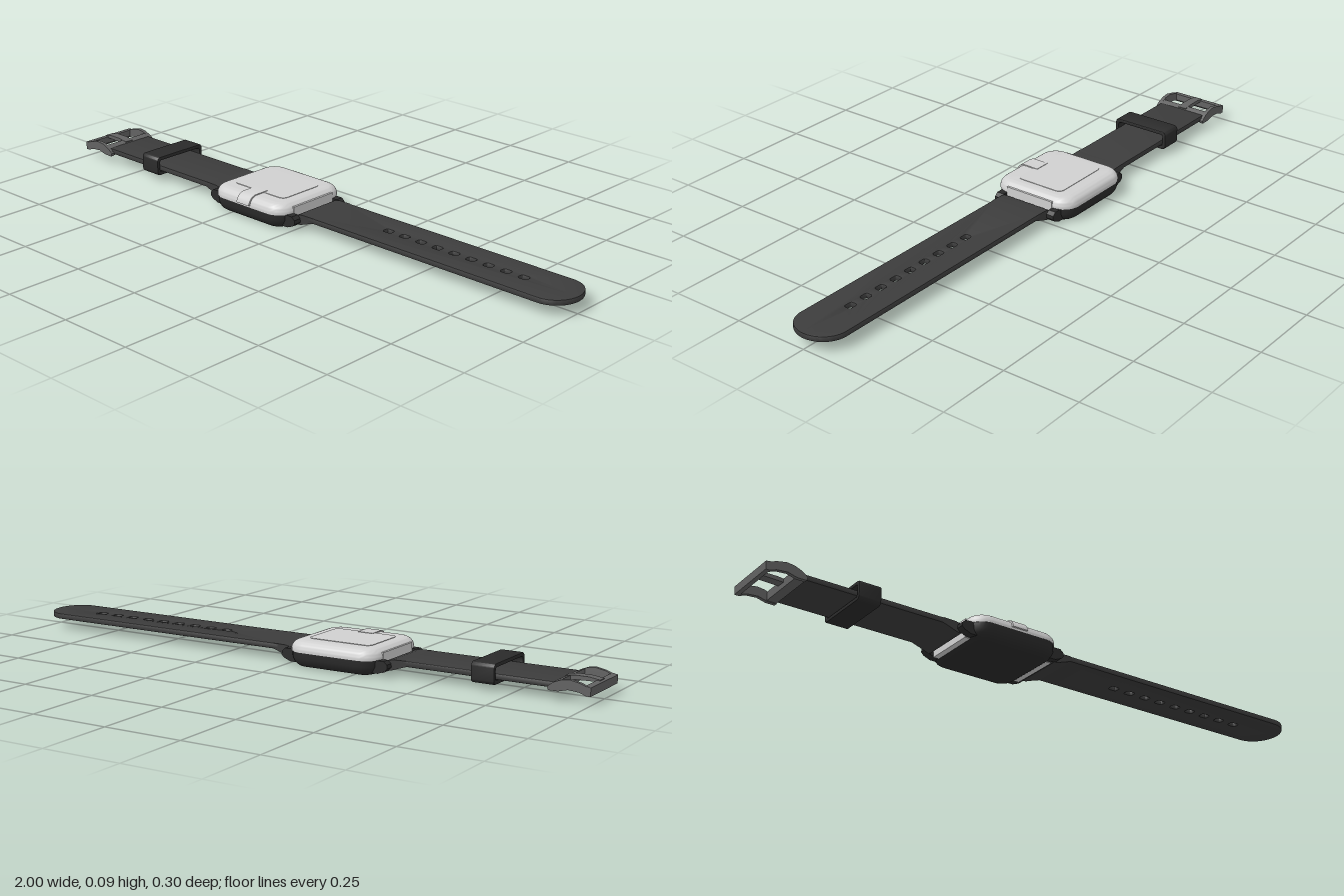
import * as THREE from 'three';
import { toCreasedNormals } from 'three/addons/utils/BufferGeometryUtils.js';

const MID = -0.17; // x centre of the watch case

const mat = (name, color) => {
  const m = new THREE.MeshStandardMaterial({ color });
  m.name = name;
  return m;
};

// Rounded-rectangle body built from rings of [y, inset]
function slab(w, d, r, rings) {
  const seg = 8, pos = [], idx = [];
  const corners = [[1, 1], [-1, 1], [-1, -1], [1, -1]];
  const n = 4 * (seg + 1);
  for (const [y, inset] of rings) {
    corners.forEach(([sx, sz], c) => {
      for (let i = 0; i <= seg; i++) {
        const a = (c + i / seg) * Math.PI / 2;
        pos.push(sx * (w / 2 - r) + (r - inset) * Math.cos(a), y,
          -(sz * (d / 2 - r) + (r - inset) * Math.sin(a)));
      }
    });
  }
  for (let k = 0; k < rings.length - 1; k++) {
    for (let i = 0; i < n; i++) {
      const j = (i + 1) % n, a = k * n;
      idx.push(a + i, a + j, a + n + j, a + i, a + n + j, a + n + i);
    }
  }
  const last = (rings.length - 1) * n, bottom = pos.length / 3;
  pos.push(0, rings[0][0], 0, 0, rings[rings.length - 1][0], 0);
  for (let i = 0; i < n; i++) {
    const j = (i + 1) % n;
    idx.push(bottom, j, i, bottom + 1, last + i, last + j);
  }
  const g = new THREE.BufferGeometry();
  g.setAttribute('position', new THREE.Float32BufferAttribute(pos, 3));
  g.setIndex(idx);
  return toCreasedNormals(g, 0.6);
}

// Side profile (x, y) extruded along z, centred
function profile(points, depth) {
  const s = new THREE.Shape(points.map(([x, y]) => new THREE.Vector2(x, y)));
  const g = new THREE.ExtrudeGeometry(s, { depth, bevelEnabled: false });
  g.translate(0, 0, -depth / 2);
  return toCreasedNormals(g, 0.6);
}

function roundRect(path, cx, cy, w, h, r) {
  const x = cx - w / 2, y = cy - h / 2;
  path.moveTo(x + r, y);
  path.lineTo(x + w - r, y);
  path.absarc(x + w - r, y + r, r, -Math.PI / 2, 0);
  path.lineTo(x + w, y + h - r);
  path.absarc(x + w - r, y + h - r, r, 0, Math.PI / 2);
  path.lineTo(x + r, y + h);
  path.absarc(x + r, y + h - r, r, Math.PI / 2, Math.PI);
  path.lineTo(x, y + r);
  path.absarc(x + r, y + r, r, Math.PI, Math.PI * 1.5);
  return path;
}

// Plan shape laid flat between y0 and y1
function flat(shape, y0, y1) {
  const b = 0.003;
  const g = new THREE.ExtrudeGeometry(shape, {
    depth: y1 - y0 - 2 * b, bevelThickness: b, bevelSize: b, bevelOffset: -b, bevelSegments: 2, curveSegments: 16,
  });
  g.rotateX(-Math.PI / 2);
  g.translate(0, y0 + b, 0);
  return toCreasedNormals(g, 0.6);
}

export function createModel() {
  const model = new THREE.Group();
  model.name = 'wristwatch';
  const body = new THREE.Group();
  body.name = 'watch';
  body.position.z = -0.003;
  model.add(body);

  const shell = mat('light shell', 0xd0d0d0);
  const base = mat('black base', 0x2b2b2b);
  const rubber = mat('strap rubber', 0x3c3c3c);
  const metal = mat('buckle metal', 0x626262);

  const add = (name, geo, m, x = 0, y = 0, z = 0) => {
    const mesh = new THREE.Mesh(geo, m);
    mesh.name = name;
    mesh.position.set(x, y, z);
    body.add(mesh);
    return mesh;
  };

  // Case: dark lower half, light upper half
  add('caseBase', slab(0.308, 0.293, 0.06,
    [[0, 0.032], [0.003, 0.022], [0.009, 0.013], [0.018, 0.006], [0.03, 0.001], [0.05, 0]]), base, MID);
  const lid = [[0.049, 0]];
  for (let i = 0; i <= 8; i++) {
    const a = i / 8 * Math.PI / 2;
    lid.push([0.055 + 0.028 * Math.sin(a), 0.032 * (1 - Math.cos(a))]);
  }
  add('caseLid', slab(0.314, 0.293, 0.06, lid), shell, MID);
  add('topPlate', slab(0.22, 0.17, 0.02, [[0.082, 0], [0.0845, 0]]), shell, MID);
  add('caseEndBlock', new THREE.BoxGeometry(0.318, 0.062, 0.175), shell, MID, 0.039);

  // Clip folding over the front edge of the lid
  const clip = profile([[0.07, 0.08], [0.07, 0.086], [0.126, 0.086], [0.138, 0.081], [0.147, 0.072],
    [0.152, 0.062], [0.153, 0.056], [0.14, 0.056], [0.138, 0.066], [0.12, 0.08]], 0.054);
  clip.rotateY(-Math.PI / 2);
  add('frontClip', clip, shell, MID - 0.002);

  // Lugs, spring bars and thick strap roots, mirrored about the case
  for (const s of [-1, 1]) {
    const mirror = (pts) => pts.map(([x, y]) => [MID + s * x, y]);
    for (const z of [-1, 1]) {
      add('lug', profile(mirror([[0.13, 0.01], [0.155, 0.01], [0.178, 0.019], [0.187, 0.028],
        [0.186, 0.04], [0.175, 0.05], [0.13, 0.05]]), 0.026), base, 0, 0, z * 0.1015);
    }
    add('strapRoot', profile(mirror([[0.166, 0.024], [0.172, 0.017], [0.185, 0.018], [0.21, 0.027],
      [0.235, 0.035], [0.235, 0.053], [0.19, 0.052], [0.172, 0.048], [0.166, 0.04]]), 0.173), rubber);
    const bar = new THREE.CylinderGeometry(0.006, 0.006, 0.2, 12);
    bar.rotateX(Math.PI / 2);
    add('springBar', bar, metal, MID + s * 0.178, 0.034);
  }

  // Long strap with rounded tip and a row of holes
  const long = new THREE.Shape();
  const hw = 0.0865;
  long.moveTo(0.05, -hw);
  long.lineTo(0.92, -hw);
  long.absellipse(0.92, 0, 0.08, hw, -Math.PI / 2, Math.PI / 2, false);
  long.lineTo(0.05, hw);
  for (let i = 0; i < 9; i++) {
    long.holes.push(roundRect(new THREE.Path(), 0.302 + i * 0.0635, 0, 0.03, 0.023, 0.007));
  }
  add('longStrap', flat(long, 0.035, 0.053), rubber);

  // Short strap
  const short = new THREE.Shape();
  short.moveTo(-0.895, -hw);
  short.lineTo(-0.39, -hw);
  short.lineTo(-0.39, hw);
  short.lineTo(-0.895, hw);
  add('shortStrap', flat(short, 0.035, 0.053), rubber);

  // Keeper loop around the short strap
  const loop = roundRect(new THREE.Shape(), 0, 0, 0.202, 0.064, 0.014);
  loop.holes.push(roundRect(new THREE.Path(), 0, 0, 0.176, 0.038, 0.006));
  const keeper = new THREE.ExtrudeGeometry(loop, {
    depth: 0.068, bevelThickness: 0.004, bevelSize: 0.004, bevelOffset: -0.004, bevelSegments: 2,
  });
  keeper.translate(0, 0, -0.034);
  keeper.rotateY(Math.PI / 2);
  add('keeperLoop', toCreasedNormals(keeper, 0.6), base, -0.665, 0.0515);

  // Buckle: curved side arms, two crossbars and a prong
  const arm = [[-0.999, 0.026], [-0.985, 0.026], [-0.965, 0.034], [-0.93, 0.037], [-0.9, 0.029], [-0.87, 0.029],
    [-0.866, 0.04], [-0.885, 0.054], [-0.91, 0.064], [-0.935, 0.067], [-0.965, 0.061], [-0.985, 0.054], [-1, 0.052]];
  for (const z of [-1, 1]) add('buckleArm', profile(arm, 0.012), metal, 0, 0, z * 0.0905);
  add('buckleFrontBar', profile([[-0.999, 0.026], [-0.985, 0.026], [-0.98, 0.032], [-0.98, 0.054],
    [-0.987, 0.055], [-1, 0.052]], 0.19), metal);
  add('buckleStrapBar', profile([[-0.902, 0.031], [-0.87, 0.031], [-0.868, 0.042], [-0.885, 0.054],
    [-0.902, 0.06]], 0.18), metal);
  add('buckleProng', profile([[-0.992, 0.05], [-0.96, 0.05], [-0.89, 0.048], [-0.885, 0.058],
    [-0.92, 0.062], [-0.96, 0.062], [-0.992, 0.057]], 0.03), metal);

  return model;
}
